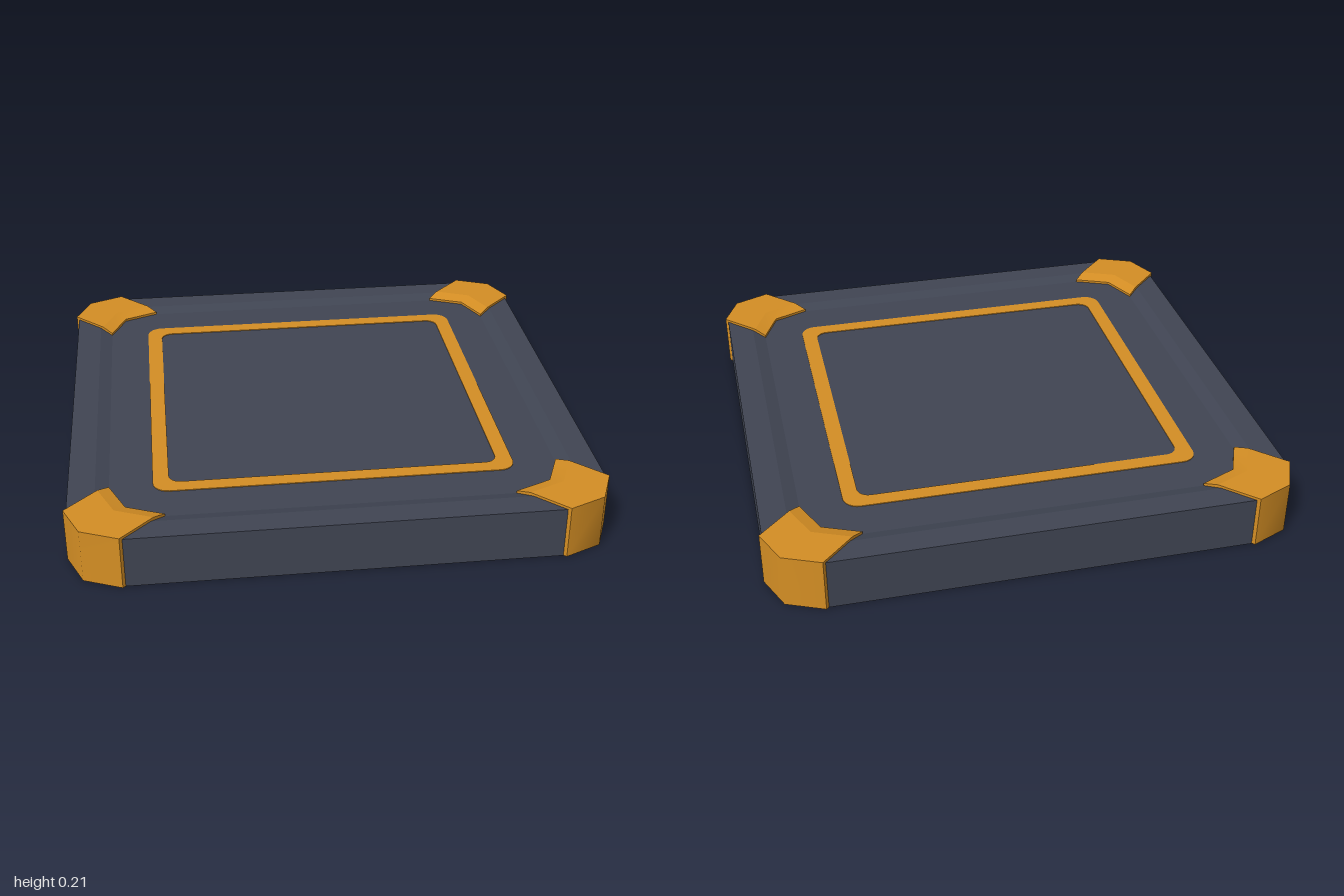
import * as THREE from 'three';
import { mergeGeometries } from 'three/addons/utils/BufferGeometryUtils.js';

// Chamfered corner as seen from above, at reach 1 from the centre
const CORNER = [[1, 0.8], [0.94, 0.94], [0.8, 1]];

// Corner points moved along the diagonal to reach d, at height y
const cornerRow = (d, y) => CORNER.map(([x, z]) => new THREE.Vector3(x + d - 1, y, z + d - 1));

// Full outline: the corner repeated in all four quadrants, closed
function outlineRow(d, y) {
  const row = [];
  for (let k = 0; k < 4; k++) {
    for (const p of cornerRow(d, y)) {
      row.push(p.applyAxisAngle(new THREE.Vector3(0, 1, 0), -k * Math.PI / 2));
    }
  }
  row.push(row[0].clone());
  return row;
}

function indexed(points, index) {
  const g = new THREE.BufferGeometry().setFromPoints(points);
  g.setIndex(index);
  g.computeVertexNormals();
  return g;
}

// Surface between two rows: smooth along the row, creased between strips
function strip(a, b) {
  const n = a.length, index = [];
  for (let j = 0; j < n - 1; j++) {
    index.push(j, n + j, j + 1, n + j, n + j + 1, j + 1);
  }
  return indexed([...a, ...b], index);
}

function fan(points) {
  const index = [];
  for (let i = 1; i < points.length - 1; i++) index.push(0, i, i + 1);
  return indexed(points, index);
}

// Slab with a raised rim sloping down to a recessed floor
function slabGeometry() {
  const centre = y => new Array(13).fill(0).map(() => new THREE.Vector3(0, y, 0));
  const rows = [
    centre(0), outlineRow(0.99, 0), outlineRow(0.99, 0.2),
    outlineRow(0.89, 0.2), outlineRow(0.84, 0.185), centre(0.185),
  ];
  const strips = rows.slice(1).map((row, i) => strip(rows[i], row));
  const flat = mergeGeometries(strips).toNonIndexed();
  flat.computeVertexNormals();
  return flat;
}

// Corner guard: one cross-section swept round the corner, with closed ends
function guardGeometry() {
  const profile = [[1, 0.001], [1, 0.21], [0.88, 0.21], [0.84, 0.195], [0.84, 0.18], [0.98, 0.001]];
  const rows = profile.map(([d, y]) => cornerRow(d, y));
  const parts = rows.map((row, i) => strip(row, rows[(i + 1) % rows.length]));
  parts.push(fan(rows.map(r => r[0].clone()).reverse()), fan(rows.map(r => r[2].clone())));
  return mergeGeometries(parts);
}

function roundedSquare(Type, h, r) {
  const s = new Type();
  for (let k = 0; k < 4; k++) {
    const a = k * Math.PI / 2, sx = k === 0 || k === 3 ? 1 : -1, sy = k < 2 ? 1 : -1;
    s.absarc(sx * (h - r), sy * (h - r), r, a, a + Math.PI / 2, false);
  }
  s.closePath();
  return s;
}

export function createModel() {
  const slate = new THREE.MeshStandardMaterial({ color: 0x404553 });
  slate.name = 'slate';
  const amber = new THREE.MeshStandardMaterial({ color: 0xd48e24 });
  amber.name = 'amber';

  const model = new THREE.Group();
  model.name = 'floorTile';
  const add = (name, geometry, material) => {
    const mesh = new THREE.Mesh(geometry, material);
    mesh.name = name;
    model.add(mesh);
    return mesh;
  };

  add('slab', slabGeometry(), slate);

  // Corner guards
  const guard = guardGeometry();
  const names = ['frontLeftGuard', 'backLeftGuard', 'backRightGuard', 'frontRightGuard'];
  names.forEach((name, k) => {
    add(name, guard, amber).rotation.y = k * Math.PI / 2;
  });

  // Painted square line on the floor
  const line = roundedSquare(THREE.Shape, 0.68, 0.06);
  line.holes.push(roundedSquare(THREE.Path, 0.62, 0.045));
  const plate = new THREE.ExtrudeGeometry(line, { depth: 0.004, bevelEnabled: false, curveSegments: 3 });
  plate.rotateX(-Math.PI / 2);
  add('floorLine', plate, amber).position.y = 0.184;

  return model;
}
